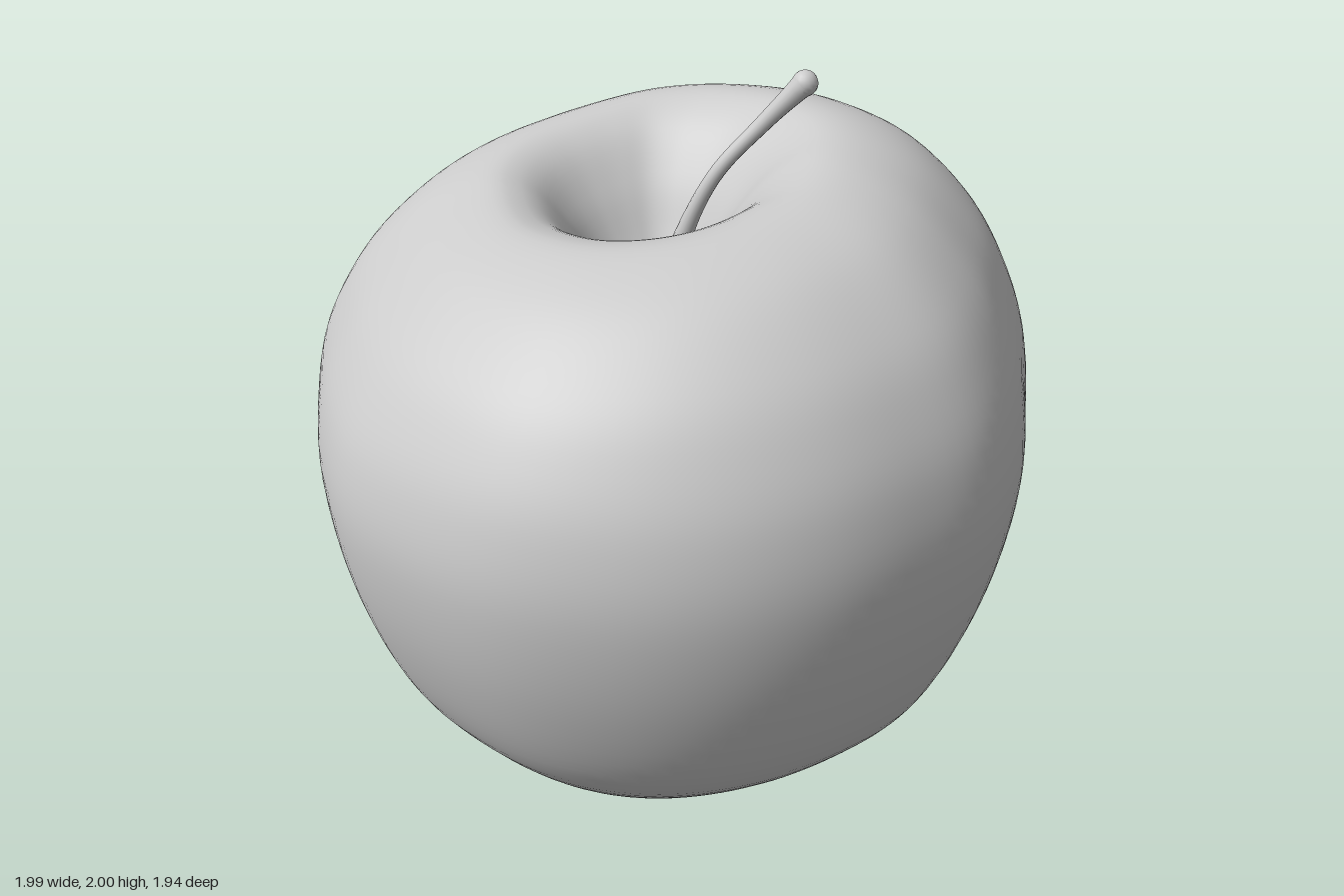
import * as THREE from 'three';
import { mergeVertices } from 'three/addons/utils/BufferGeometryUtils.js';

const material = new THREE.MeshStandardMaterial({ color: 0xcccccc, roughness: 0.8 });

// Outline radius every 15 degrees, turning from +x towards +z
const OUTLINE = [0.99, 1.0, 0.975, 0.94, 0.955, 0.975, 0.963, 0.97, 0.98, 0.99, 1.0, 0.995,
  0.995, 0.97, 0.965, 0.998, 1.01, 0.995, 0.97, 0.968, 0.99, 0.985, 0.975, 0.985];

// Half section (radius, height) from the blossom hollow up to the stem hollow
const PROFILE = [[0, 0.29], [0.06, 0.27], [0.13, 0.18], [0.2, 0.09], [0.3, 0.028], [0.4, 0.02],
  [0.5, 0.06], [0.65, 0.165], [0.83, 0.38], [0.95, 0.68], [1, 0.97], [0.975, 1.2], [0.9, 1.38],
  [0.8, 1.52], [0.64, 1.655], [0.46, 1.72], [0.33, 1.68], [0.22, 1.56], [0.14, 1.42],
  [0.07, 1.32], [0, 1.29]];

function outlineRadius(angle) {
  const n = OUTLINE.length;
  const t = ((angle / (Math.PI * 2)) * n + n) % n;
  const i = Math.floor(t) % n;
  const f = t - Math.floor(t);
  const [a, b, c, d] = [-1, 0, 1, 2].map(k => OUTLINE[(i + k + n) % n]);
  return b + 0.5 * f * (c - a + f * (2 * a - 5 * b + 4 * c - d + f * (3 * (b - c) + d - a)));
}

function createFruit() {
  const curve = new THREE.SplineCurve(PROFILE.map(p => new THREE.Vector2(...p)));
  const points = curve.getPoints(110);
  points[0].x = points[points.length - 1].x = 0;
  let geometry = new THREE.LatheGeometry(points, 128);
  const pos = geometry.attributes.position;
  for (let i = 0; i < pos.count; i++) {
    const x = pos.getX(i), y = pos.getY(i), z = pos.getZ(i);
    const s = Math.hypot(x, z);
    const angle = Math.atan2(z, x);
    const r = s * outlineRadius(angle);
    const rim = Math.min(1, s / 0.4);
    const top = THREE.MathUtils.smoothstep(y, 0.9, 1.7);
    const bottom = 1 - THREE.MathUtils.smoothstep(y, 0, 0.6);
    // Shoulder higher on +x, faint lobes underneath
    const lift = rim * (0.07 * Math.cos(angle) * top
      - bottom * (0.014 * Math.cos(angle) + 0.008 * Math.cos(5 * angle)));
    // Stem hollow sits slightly off centre
    const shift = top * (1 - THREE.MathUtils.smoothstep(s, 0.1, 0.6));
    pos.setXYZ(i, r * Math.cos(angle) - 0.05 * shift, y + lift, r * Math.sin(angle) - 0.05 * shift);
  }
  // Weld the seam so the skin shades smoothly
  geometry.deleteAttribute('uv');
  geometry.deleteAttribute('normal');
  geometry = mergeVertices(geometry, 1e-4);
  geometry.computeVertexNormals();
  const mesh = new THREE.Mesh(geometry, material);
  mesh.name = 'fruit';
  return mesh;
}

function createStem() {
  const stem = new THREE.Group();
  stem.name = 'stem';
  const path = new THREE.CatmullRomCurve3([
    [-0.045, 1.26, 0.0], [-0.03, 1.5, 0.05], [0.015, 1.72, 0.14], [0.1, 1.86, 0.22], [0.165, 1.965, 0.29],
  ].map(p => new THREE.Vector3(...p)));
  const rings = 40, sides = 14;
  const geometry = new THREE.TubeGeometry(path, rings, 1, sides);
  const pos = geometry.attributes.position;
  const v = new THREE.Vector3();
  // Flared foot, thin middle, thicker tip
  for (let i = 0; i < pos.count; i++) {
    const t = Math.floor(i / (sides + 1)) / rings;
    const centre = path.getPointAt(t);
    const radius = 0.018 + 0.06 * Math.pow(1 - t, 5) + 0.012 * Math.pow(t, 8);
    v.fromBufferAttribute(pos, i).sub(centre).multiplyScalar(radius).add(centre);
    pos.setXYZ(i, v.x, v.y, v.z);
  }
  geometry.computeVertexNormals();
  const stalk = new THREE.Mesh(geometry, material);
  stalk.name = 'stalk';
  const tip = new THREE.Mesh(new THREE.SphereGeometry(0.032, 16, 12), material);
  tip.name = 'stalkTip';
  tip.position.set(0.168, 1.966, 0.29);
  stem.add(stalk, tip);
  return stem;
}

export function createModel() {
  const apple = new THREE.Group();
  apple.name = 'apple';
  apple.add(createFruit(), createStem());
  return apple;
}
